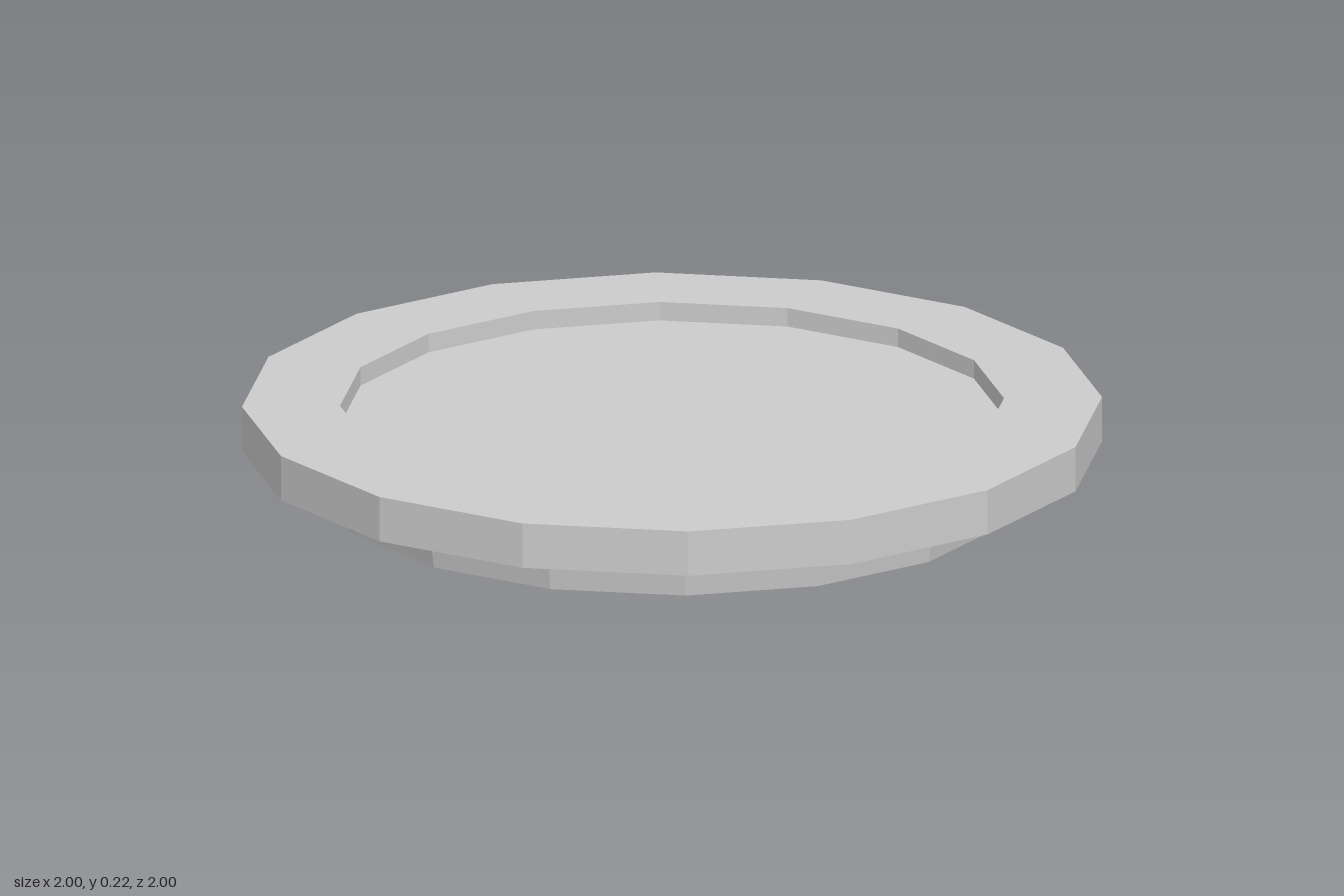
import * as THREE from 'three';

const SIDES = 16;

// Faceted solid of revolution; profile runs from the underside outward and up.
function turned(name, profile) {
  const points = profile.map(([r, y]) => new THREE.Vector2(r, y));
  const geometry = new THREE.LatheGeometry(points, SIDES);
  const material = new THREE.MeshStandardMaterial({ color: 0xcccccc, flatShading: true });
  const mesh = new THREE.Mesh(geometry, material);
  mesh.name = name;
  return mesh;
}

export function createModel() {
  const group = new THREE.Group();
  group.name = 'shallowDish';

  // Slightly flared base with a flat underside
  group.add(turned('base', [[0, 0], [0.814, 0], [0.83, 0.107]]));

  // Wide rim: underside, outer edge, top face, and wall down to the recess
  group.add(turned('rim', [[0.83, 0.107], [1, 0.107], [1, 0.215], [0.772, 0.215], [0.772, 0.17]]));

  // Sunken floor
  group.add(turned('recessFloor', [[0.772, 0.17], [0, 0.17]]));

  return group;
}
